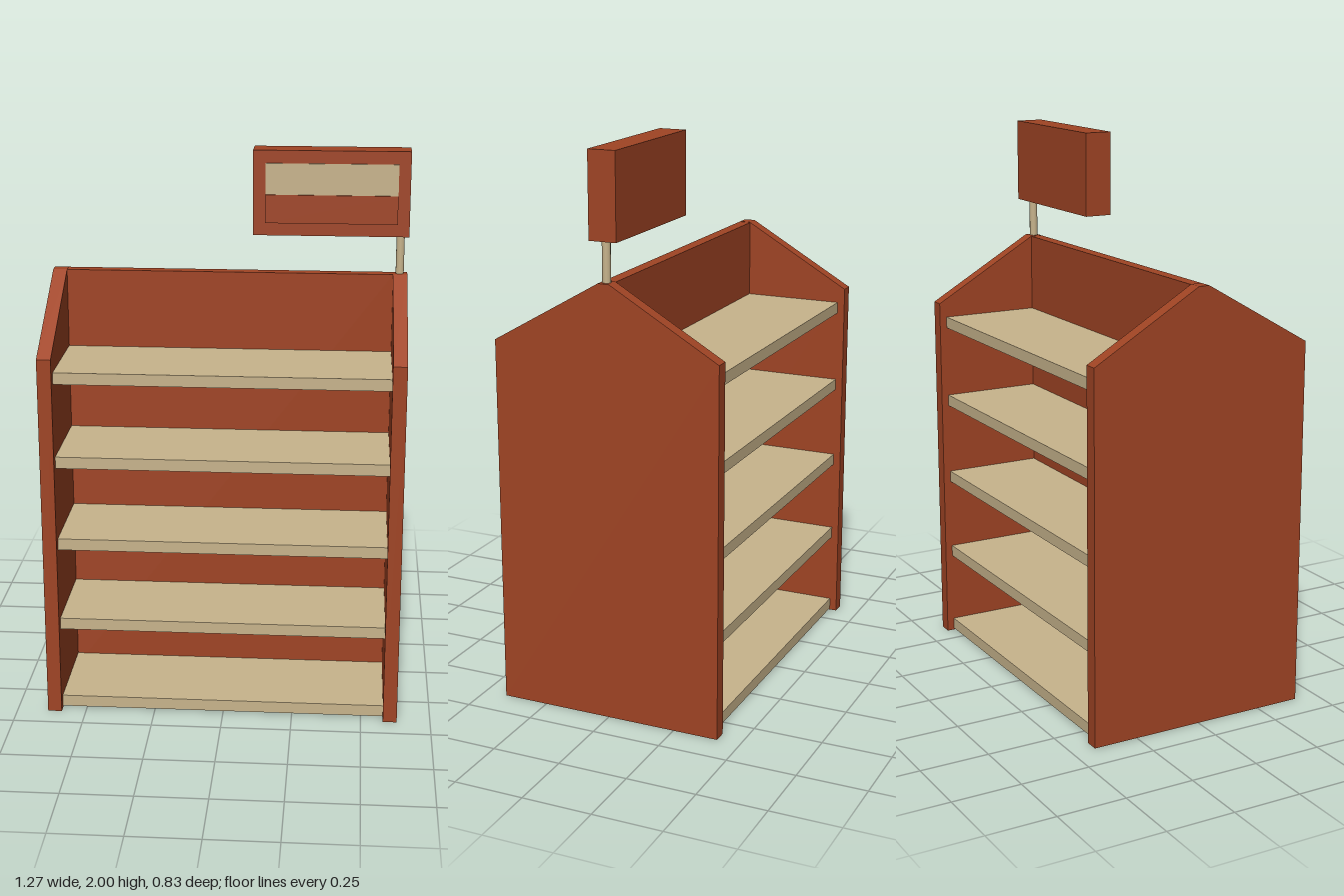
import * as THREE from 'three';

export function createModel() {
  const group = new THREE.Group();
  group.name = 'shelfUnit';
  const redWood = new THREE.MeshStandardMaterial({ name: 'red wood', color: 0xa04424 });
  const paleWood = new THREE.MeshStandardMaterial({ name: 'pale wood', color: 0xc8b48c });

  const add = (name, geometry, material) => {
    const mesh = new THREE.Mesh(geometry, material);
    mesh.name = name;
    group.add(mesh);
    return mesh;
  };
  // Box given by its lower and upper limits on each axis
  const box = (name, material, [x0, x1], [y0, y1], [z0, z1]) =>
    add(name, new THREE.BoxGeometry(x1 - x0, y1 - y0, z1 - z0), material)
      .position.set((x0 + x1) / 2, (y0 + y1) / 2, (z0 + z1) / 2);

  // Gabled end panels
  const outline = new THREE.Shape([
    [-0.415, 0], [0.415, 0], [0.415, 1.33], [0.02, 1.56], [-0.02, 1.56], [-0.415, 1.33],
  ].map(([z, y]) => new THREE.Vector2(z, y)));
  const panel = new THREE.ExtrudeGeometry(outline, { depth: 0.05, bevelEnabled: false });
  panel.rotateY(Math.PI / 2);
  add('leftEndPanel', panel, redWood).position.x = 0.58;
  add('rightEndPanel', panel, redWood).position.x = -0.638;

  // Upright divider between the two shelf sides
  box('divider', redWood, [-0.59, 0.58], [0, 1.559], [-0.022, 0.022]);

  // Five shelves on each side of the divider
  for (let i = 0; i < 5; i++) {
    const top = 0.048 + i * 0.307;
    box('frontShelf', paleWood, [-0.59, 0.58], [top - 0.042, top], [0.022, 0.383]);
    box('backShelf', paleWood, [-0.59, 0.58], [top - 0.042, top], [-0.388, -0.022]);
  }

  // Sign on its post
  const post = new THREE.CylinderGeometry(0.015, 0.015, 0.17, 10);
  add('signPost', post, paleWood).position.set(0.603, 1.625, 0);
  box('signBoard', redWood, [0.082, 0.632], [1.7, 2], [-0.05, 0.05]);
  box('signPanel', paleWood, [0.126, 0.59], [1.745, 1.955], [0.05, 0.054]);
  box('signLowerPanel', redWood, [0.126, 0.59], [1.745, 1.845], [0.054, 0.058]);

  return group;
}
